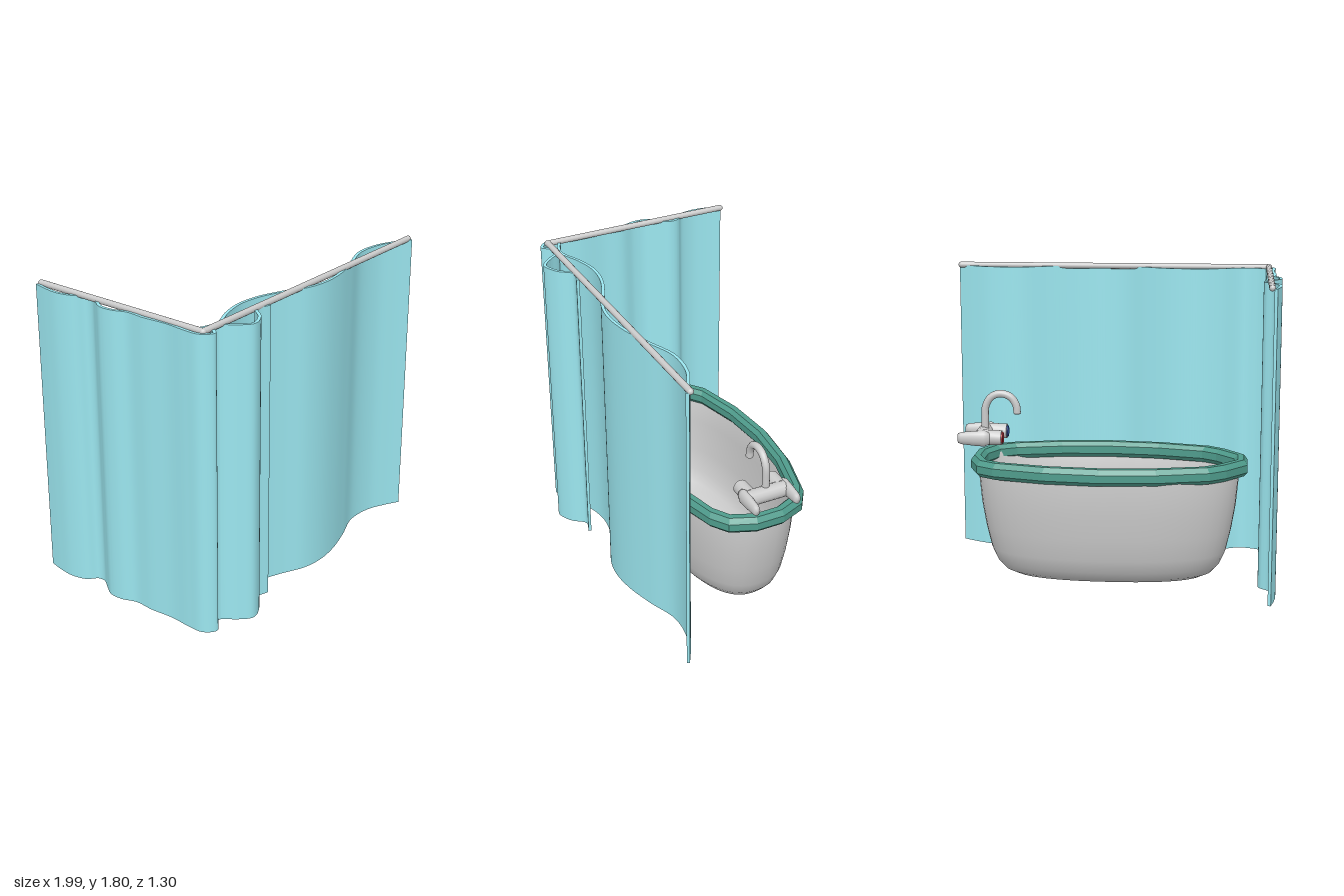
import * as THREE from 'three';
import { mergeVertices, toCreasedNormals } from 'three/addons/utils/BufferGeometryUtils.js';

const V = (x, y, z) => new THREE.Vector3(x, y, z);
const material = (color, extra = {}) => new THREE.MeshStandardMaterial({ color, ...extra });
const grey = material(0xcccccc);
const CZ = -0.065; // centre line of the tub and tap

function add(parent, name, geometry, mat) {
  const mesh = new THREE.Mesh(geometry, mat);
  mesh.name = name;
  parent.add(mesh);
  return mesh;
}

// Skin over closed rings of equal length
function loft(rings) {
  const n = rings[0].length, index = [];
  for (let i = 0; i < rings.length - 1; i++) {
    for (let j = 0; j < n; j++) {
      const a = i * n + j, b = i * n + (j + 1) % n;
      index.push(a, a + n, b, b, a + n, b + n);
    }
  }
  const geo = new THREE.BufferGeometry().setFromPoints(rings.flat());
  geo.setIndex(index);
  geo.computeVertexNormals();
  return geo;
}

// Rounded-oval ring at height y
function oval(y, ax, az, count = 48) {
  const e = 2 / 2.35;
  return Array.from({ length: count }, (_, i) => {
    const t = (i / count) * Math.PI * 2, c = Math.cos(t), s = Math.sin(t);
    return V(Math.sign(c) * Math.abs(c) ** e * ax, y, CZ + Math.sign(s) * Math.abs(s) ** e * az);
  });
}

// Hanging cloth of constant thickness following a wavy plan path of [x, z]
function curtain(points) {
  const curve = new THREE.CatmullRomCurve3(points.map(([x, z]) => V(x, z, 0)));
  const left = [], right = [], n = points.length * 8;
  for (let i = 0; i <= n; i++) {
    const p = curve.getPoint(i / n), t = curve.getTangent(i / n);
    left.push(new THREE.Vector2(p.x - t.y * 0.009, p.y + t.x * 0.009));
    right.unshift(new THREE.Vector2(p.x + t.y * 0.009, p.y - t.x * 0.009));
  }
  const geo = new THREE.ExtrudeGeometry(new THREE.Shape([...left, ...right]), { depth: 1.77, bevelEnabled: false });
  geo.rotateX(Math.PI / 2).translate(0, 1.785, 0);
  return toCreasedNormals(geo, 0.7);
}

// Straight round bar along x or z with rounded ends
function bar(a, b, r) {
  const geo = new THREE.CapsuleGeometry(r, a.distanceTo(b) - 2 * r, 6, 14);
  const q = new THREE.Quaternion().setFromUnitVectors(V(0, 1, 0), b.clone().sub(a).normalize());
  geo.applyQuaternion(q);
  const m = a.clone().add(b).multiplyScalar(0.5);
  return geo.translate(m.x, m.y, m.z);
}

function makeTub() {
  const tub = new THREE.Group();
  tub.name = 'bathtub';
  // Outer wall from the raised underside up, then inner wall down to the floor: [y, half x, half z]
  const profile = [
    [0.018, 0.001, 0.001], [0.015, 0.25, 0.09], [0.004, 0.47, 0.17], [0.012, 0.56, 0.215],
    [0.04, 0.62, 0.262], [0.09, 0.665, 0.302], [0.17, 0.7, 0.333], [0.3, 0.73, 0.357],
    [0.45, 0.755, 0.373], [0.67, 0.775, 0.388],
    [0.69, 0.75, 0.362], [0.5, 0.725, 0.345], [0.3, 0.695, 0.325], [0.17, 0.655, 0.295],
    [0.1, 0.6, 0.25], [0.065, 0.52, 0.19], [0.055, 0.3, 0.1], [0.055, 0.001, 0.001],
  ];
  add(tub, 'tubShell', loft(profile.map(p => oval(...p))), grey);

  // Faceted rim: a quarter outline, mirrored round
  const half = [[0.81, 0.085], [0.75, 0.235], [0.645, 0.305], [0.345, 0.385], [0.02, 0.415],
    [-0.305, 0.385], [-0.605, 0.305], [-0.7, 0.23], [-0.82, 0.075]];
  const outline = [...half, ...half.map(([x, z]) => [x, -z]).reverse()];
  const section = [[0.02, 0.632], [0, 0.655], [0, 0.7], [0.022, 0.73], [0.058, 0.73],
    [0.08, 0.705], [0.08, 0.66], [0.06, 0.635], [0.02, 0.632]];
  const rings = section.map(([d, y]) =>
    outline.map(([x, z]) => V(x * (1 - d / 0.815), y, CZ + z * (1 - d / 0.415))));
  add(tub, 'rim', loft(rings), material(0x4f9c8c, { flatShading: true }));

  // Plug on the floor
  const plug = add(tub, 'plug', new THREE.SphereGeometry(0.07, 24, 14), grey);
  plug.scale.y = 0.5;
  plug.position.set(0.41, 0.06, CZ);
  return tub;
}

function makeTap() {
  const tap = new THREE.Group();
  tap.name = 'mixerTap';
  const y = 0.84;
  add(tap, 'tapBody', bar(V(0.745, y, CZ - 0.15), V(0.745, y, CZ + 0.15), 0.047), grey);

  // Gooseneck spout
  const path = new THREE.CatmullRomCurve3([
    V(0.735, y, CZ), V(0.735, 0.93, CZ), V(0.73, 1.01, CZ), V(0.695, 1.066, CZ),
    V(0.64, 1.085, CZ), V(0.58, 1.065, CZ), V(0.548, 1.015, CZ), V(0.543, 0.97, CZ)]);
  add(tap, 'spout', new THREE.TubeGeometry(path, 40, 0.022, 14), grey);
  const tip = add(tap, 'spoutTip', new THREE.SphereGeometry(0.022, 14, 8), grey);
  tip.position.copy(path.getPoint(1));
  tip.scale.y = 0.4;

  for (const side of [-1, 1]) {
    // Tapered wall arm
    const arm = add(tap, 'wallArm', new THREE.LatheGeometry([[0, -0.1], [0.028, -0.095], [0.036, -0.075],
      [0.044, 0], [0.048, 0.06], [0.035, 0.09], [0, 0.1]].map(p => new THREE.Vector2(...p)), 18), grey);
    arm.rotation.z = Math.PI / 2;
    arm.scale.z = 0.65;
    arm.position.set(0.78, y, CZ + side * 0.128);

    // Handle with a hot or cold marker on its face
    const knob = add(tap, 'handle', toCreasedNormals(mergeVertices(new THREE.CylinderGeometry(0.044, 0.047, 0.11, 16)), 0.7), grey);
    knob.rotation.z = Math.PI / 2;
    knob.position.set(0.675, y, CZ + side * 0.098);
    const cap = add(tap, side < 0 ? 'hotMarker' : 'coldMarker',
      new THREE.CylinderGeometry(0.033, 0.033, 0.012, 16), material(side < 0 ? 0xc03038 : 0x3458b0));
    cap.rotation.z = Math.PI / 2;
    cap.position.set(0.618, y, CZ + side * 0.098);
  }
  return tap;
}

export function createModel() {
  const model = new THREE.Group();
  model.name = 'bathWithCurtain';
  model.add(makeTub(), makeTap());

  // Corner rail
  add(model, 'frontRail', bar(V(-0.95, 1.788, 0.52), V(0.99, 1.788, 0.52), 0.018), grey);
  add(model, 'sideRail', bar(V(-0.93, 1.788, 0.54), V(-0.93, 1.788, -0.65), 0.018), grey);

  // Long front curtain, and a second one bunched round the corner
  const cloth = material(0x9be6ef, { side: THREE.DoubleSide });
  add(model, 'frontCurtain', curtain([
    [0.98, 0.54], [0.88, 0.485], [0.77, 0.44], [0.6, 0.43], [0.4, 0.5], [0.22, 0.55], [0.07, 0.565],
    [-0.06, 0.545], [-0.2, 0.48], [-0.35, 0.425], [-0.5, 0.41], [-0.64, 0.44], [-0.78, 0.495],
    [-0.86, 0.48], [-0.915, 0.455]]), cloth);
  add(model, 'sideCurtain', curtain([
    [-0.41, 0.545], [-0.5, 0.525], [-0.575, 0.605], [-0.67, 0.642], [-0.735, 0.59], [-0.8, 0.51],
    [-0.85, 0.51], [-0.9, 0.568], [-0.955, 0.52], [-0.96, 0.43], [-0.95, 0.3], [-0.96, 0.15],
    [-0.955, 0.03], [-0.985, -0.06], [-0.983, -0.14], [-0.945, -0.2], [-0.9, -0.27], [-0.905, -0.32],
    [-0.955, -0.37], [-0.978, -0.46], [-0.97, -0.55], [-0.95, -0.645]]), cloth);
  return model;
}
